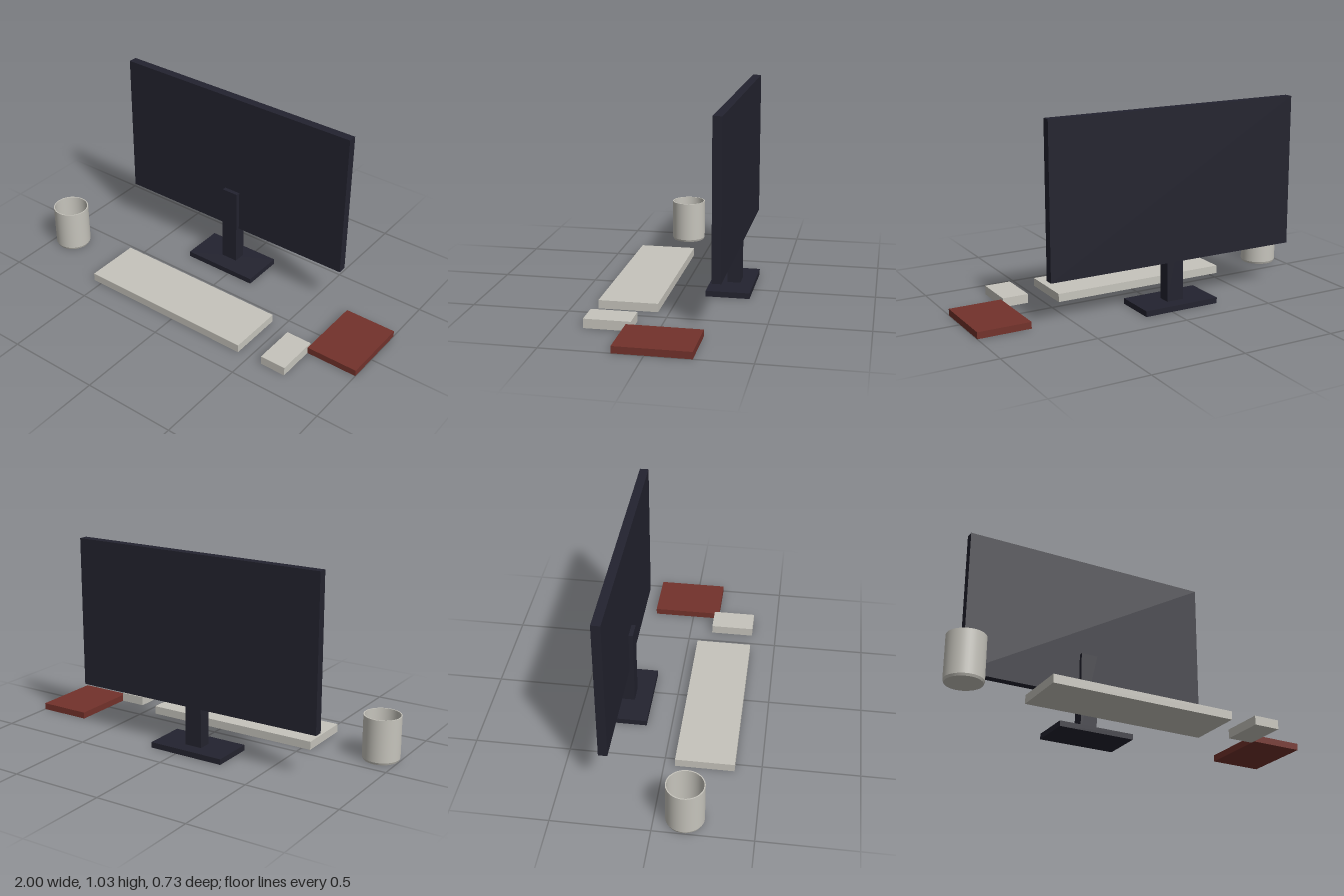
import * as THREE from 'three';

const material = (name, color) => {
  const m = new THREE.MeshStandardMaterial({ color });
  m.name = name;
  return m;
};

export function createModel() {
  const model = new THREE.Group();
  model.name = 'deskSet';
  const dark = material('darkPlastic', 0x23232f);
  const pale = material('paleGrey', 0xc6c4bc);
  const red = material('redCover', 0x73322b);

  // Box given by its extents along each axis
  const box = (name, mat, [x0, x1], [y0, y1], [z0, z1], parent = model) => {
    const mesh = new THREE.Mesh(new THREE.BoxGeometry(x1 - x0, y1 - y0, z1 - z0), mat);
    mesh.position.set((x0 + x1) / 2, (y0 + y1) / 2, (z0 + z1) / 2);
    mesh.name = name;
    parent.add(mesh);
    return mesh;
  };

  // Monitor: panel, stem in front of it, and foot
  const monitor = new THREE.Group();
  monitor.name = 'monitor';
  model.add(monitor);
  box('screenPanel', dark, [-0.764, 0.642], [0.237, 1.035], [-0.293, -0.246], monitor);
  box('standStem', dark, [-0.107, -0.013], [0.03, 0.47], [-0.292, -0.223], monitor);
  box('standBase', dark, [-0.27, 0.152], [0, 0.03], [-0.363, -0.133], monitor);

  // Flat things lying on the desk
  box('keyboard', pale, [-0.55, 0.434], [0, 0.044], [0.057, 0.363]);
  box('mouse', pale, [0.576, 0.717], [0, 0.048], [0.128, 0.363]);
  box('notebook', red, [0.717, 1], [0, 0.035], [-0.224, 0.153]);

  // Cup: hollow, with separate profiles so that rim and base stay sharp
  const cup = new THREE.Group();
  cup.name = 'cup';
  cup.position.set(-0.903, 0, 0.154);
  model.add(cup);
  const profiles = {
    cupBase: [[0, 0], [0.092, 0]],
    cupFoot: [[0.092, 0], [0.097, 0.012]],
    cupOuterWall: [[0.097, 0.012], [0.097, 0.236]],
    cupRim: [[0.097, 0.236], [0.091, 0.236]],
    cupInnerWall: [[0.091, 0.236], [0.091, 0.015]],
    cupFloor: [[0.091, 0.015], [0, 0.015]],
  };
  for (const [name, points] of Object.entries(profiles)) {
    const curve = points.map(([r, y]) => new THREE.Vector2(r, y));
    const mesh = new THREE.Mesh(new THREE.LatheGeometry(curve, 40), pale);
    mesh.name = name;
    cup.add(mesh);
  }
  return model;
}
